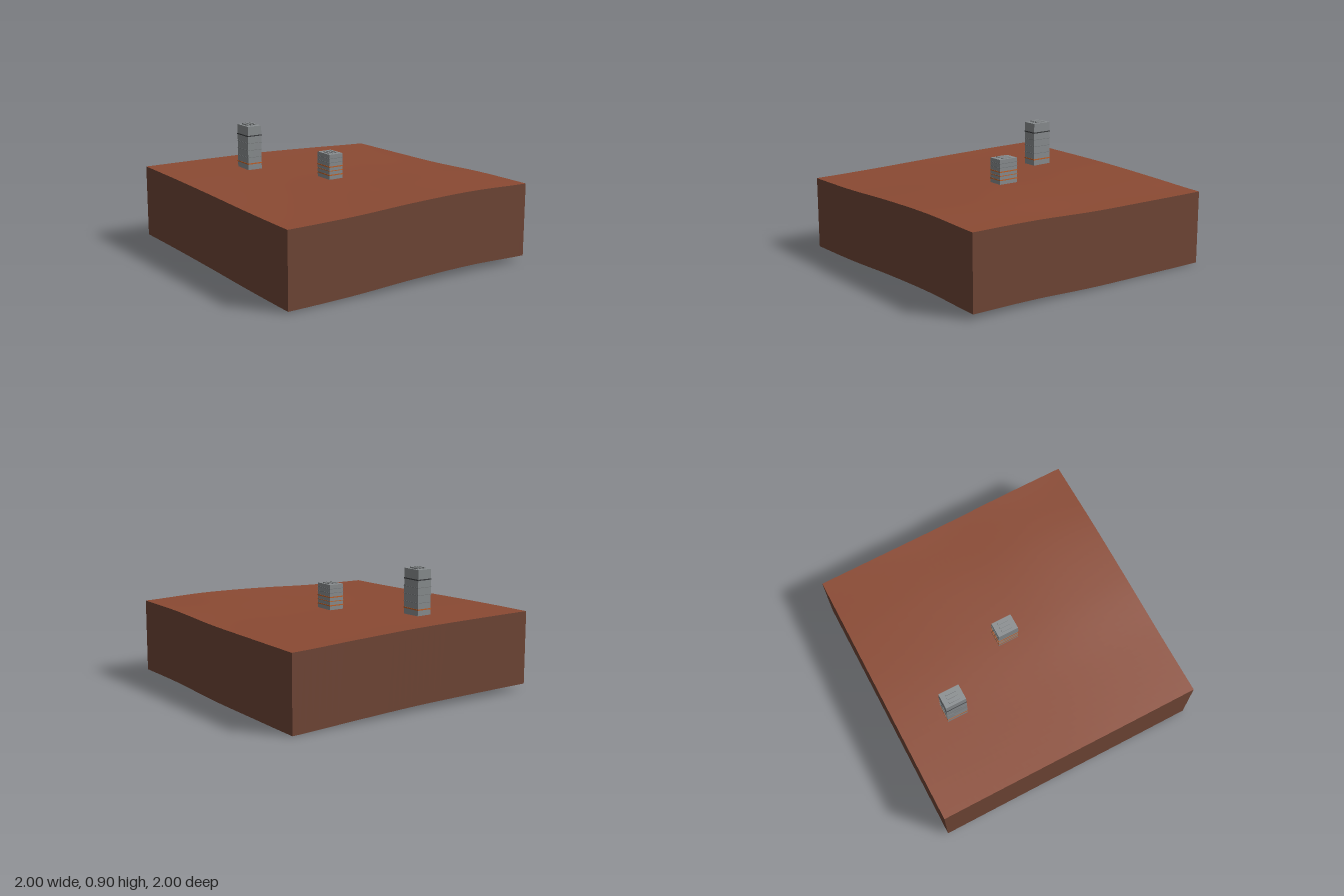
import * as THREE from 'three';

const mat = (name, color, side = THREE.FrontSide) => {
  const m = new THREE.MeshStandardMaterial({ color, side });
  m.name = name;
  return m;
};

// Heights along one border of the ground, for a parameter from 0 to 1
const border = (...heights) => {
  const curve = new THREE.SplineCurve(heights.map((h, i) => new THREE.Vector2(i, h)));
  return t => curve.getPoint(t).y;
};
const back = border(0.58, 0.578, 0.572, 0.555, 0.535);
const front = border(0.545, 0.553, 0.575, 0.585, 0.572);
const left = border(0.535, 0.54, 0.547, 0.567, 0.572); // x = +1
const right = border(0.58, 0.575, 0.565, 0.552, 0.545); // x = -1

// Ground height: the four borders blended, with a shallow dip in the middle
function groundHeight(x, z) {
  const u = (x + 1) / 2, v = (z + 1) / 2;
  const mix = THREE.MathUtils.lerp;
  const corners = mix(mix(back(0), back(1), u), mix(front(0), front(1), u), v);
  return mix(back(u), front(u), v) + mix(right(v), left(v), u) - corners
    - 0.012 * (1 - x * x) * (1 - z * z);
}

function makeGround(material) {
  const geo = new THREE.PlaneGeometry(2, 2, 40, 40).rotateX(-Math.PI / 2);
  const p = geo.attributes.position;
  for (let i = 0; i < p.count; i++) p.setY(i, groundHeight(p.getX(i), p.getZ(i)));
  geo.computeVertexNormals();
  const mesh = new THREE.Mesh(geo, material);
  mesh.name = 'ground';
  return mesh;
}

// One side wall, hanging a constant depth below the ground's border
function makeWall(name, angle, material) {
  const depth = 0.532;
  const geo = new THREE.PlaneGeometry(2, 1, 40, 1).translate(0, 0, 1).rotateY(angle);
  const p = geo.attributes.position;
  for (let i = 0; i < p.count; i++) {
    const drop = p.getY(i) < 0 ? depth : 0;
    p.setY(i, groundHeight(p.getX(i), p.getZ(i)) - drop);
  }
  const mesh = new THREE.Mesh(geo, material);
  mesh.name = name;
  return mesh;
}

// Tower with bands around it and ribs on the roof
function makeTower(name, { x, z, bottom, top, ribHeight, bands }, wall) {
  const tower = new THREE.Group();
  tower.name = name;
  tower.position.set(x, 0, z);
  const add = (part, w, h, d, px, py, material) => {
    const mesh = new THREE.Mesh(new THREE.BoxGeometry(w, h, d), material);
    mesh.name = part;
    mesh.position.set(px, py, 0);
    tower.add(mesh);
  };
  add('towerBody', 0.116, top - bottom, 0.154, 0, (top + bottom) / 2, wall);
  for (const [y, h, material] of bands) add('band', 0.121, h, 0.159, 0, y, material);
  for (const px of [-0.03, 0, 0.03]) {
    add('roofRib', 0.016, ribHeight, 0.08, px, top + ribHeight / 2, wall);
  }
  return tower;
}

export function createModel() {
  const soil = mat('red soil', 0x8b4a33, THREE.DoubleSide);
  const earth = mat('brown earth', 0x704636, THREE.DoubleSide);
  const concrete = mat('concrete grey', 0x8a8e90);
  const seam = mat('seam grey', 0x74787a);
  const dark = mat('dark trim', 0x3a3c3e);
  const orange = mat('orange trim', 0xc0622a);

  const model = new THREE.Group();
  model.name = 'towersOnGround';
  model.add(makeGround(soil));
  ['frontWall', 'leftWall', 'backWall', 'rightWall'].forEach((name, i) =>
    model.add(makeWall(name, i * Math.PI / 2, earth)));

  model.add(makeTower('tallTower', {
    x: -0.337, z: -0.585, bottom: 0.555, top: 0.895, ribHeight: 0.01,
    bands: [[0.612, 0.009, orange], [0.66, 0.003, seam], [0.715, 0.003, seam],
      [0.768, 0.003, seam], [0.823, 0.008, dark]],
  }, concrete));
  model.add(makeTower('shortTower', {
    x: 0, z: 0, bottom: 0.55, top: 0.744, ribHeight: 0.006,
    bands: [[0.592, 0.008, orange], [0.623, 0.005, orange], [0.653, 0.008, orange],
      [0.684, 0.003, seam], [0.714, 0.003, seam]],
  }, concrete));
  return model;
}
